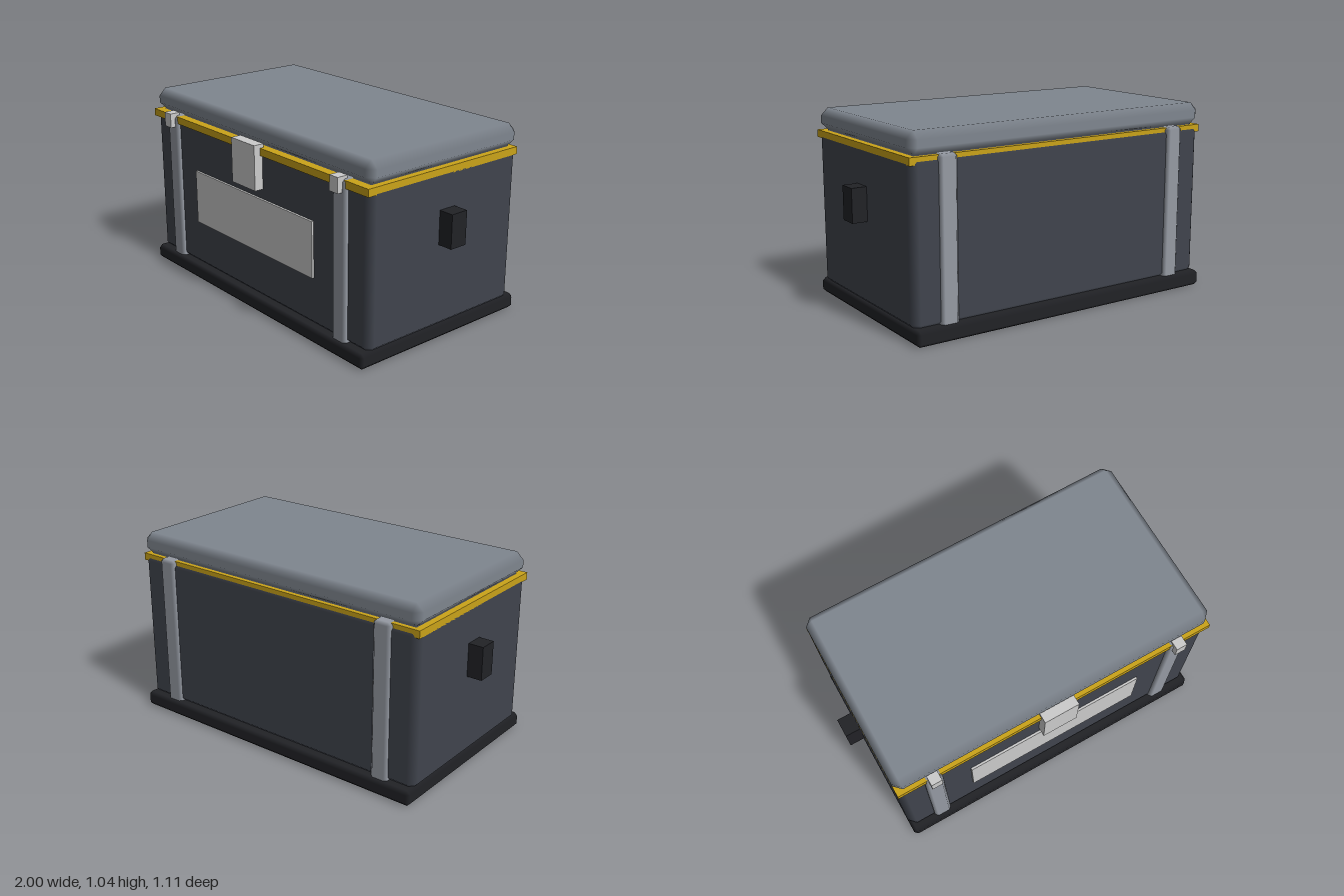
import * as THREE from 'three';
import { ConvexGeometry } from 'three/addons/geometries/ConvexGeometry.js';

const mat = (color) => new THREE.MeshStandardMaterial({ color });

// Chamfered box whose bevels blend smoothly between the flat faces
function chamferBox(w, h, d, c) {
  const half = [w / 2, h / 2, d / 2];
  const points = [];
  for (const sx of [-1, 1]) for (const sy of [-1, 1]) for (const sz of [-1, 1]) {
    for (let axis = 0; axis < 3; axis++) {
      const p = [sx, sy, sz].map((s, i) => s * (half[i] - (i === axis ? 0 : c)));
      points.push(new THREE.Vector3(...p));
    }
  }
  const geo = new ConvexGeometry(points);
  const pos = geo.attributes.position;
  for (let i = 0; i < pos.count; i++) {
    const p = [pos.getX(i), pos.getY(i), pos.getZ(i)];
    const n = p.map((v, a) => (Math.abs(Math.abs(v) - half[a]) < 1e-5 ? Math.sign(v) : 0));
    geo.attributes.normal.setXYZ(i, ...n);
  }
  return geo;
}

export function createModel() {
  const group = new THREE.Group();
  const shell = mat(0x40444d);
  const lidGrey = mat(0x7f868f);
  const dark = mat(0x212226);
  const yellow = mat(0xcaa319);
  const strapGrey = mat(0x959aa3);
  const light = mat(0xcccccc);

  // Box given by its extents along each axis, with an optional chamfer
  function block(name, material, [x0, x1], [y0, y1], [z0, z1], chamfer = 0) {
    const size = [x1 - x0, y1 - y0, z1 - z0];
    const geo = chamfer ? chamferBox(...size, chamfer) : new THREE.BoxGeometry(...size);
    const mesh = new THREE.Mesh(geo, material);
    mesh.name = name;
    mesh.position.set((x0 + x1) / 2, (y0 + y1) / 2, (z0 + z1) / 2);
    group.add(mesh);
  }

  // Main case
  const width = [-0.917, 0.917];
  block('base', dark, width, [0, 0.083], [-0.555, 0.547], 0.018);
  block('body', shell, width, [0.06, 0.925], [-0.515, 0.505], 0.04);
  block('trim', yellow, width, [0.88, 0.92], [-0.504, 0.518]);
  block('lid', lidGrey, width, [0.922, 1.042], [-0.515, 0.505], 0.04);

  // Front fittings
  block('labelPlate', light, [-0.51, 0.51], [0.34, 0.643], [0.49, 0.517]);
  block('clasp', light, [-0.1, 0.1], [0.697, 0.94], [0.495, 0.555]);

  // Straps, strap latches and side handles
  for (const s of [-1, 1]) {
    const side = s > 0 ? 'left' : 'right';
    const x = 0.717 * s;
    block(side + 'Strap', strapGrey, [x - 0.05, x + 0.05], [0.05, 0.925], [-0.533, 0.527], 0.016);
    block(side + 'Latch', light, [x - 0.03, x + 0.03], [0.86, 0.94], [0.495, 0.555]);
    const hx = s > 0 ? [0.88, 1] : [-1, -0.88];
    block(side + 'Handle', dark, hx, [0.525, 0.706], [-0.055, 0.047]);
  }
  return group;
}
